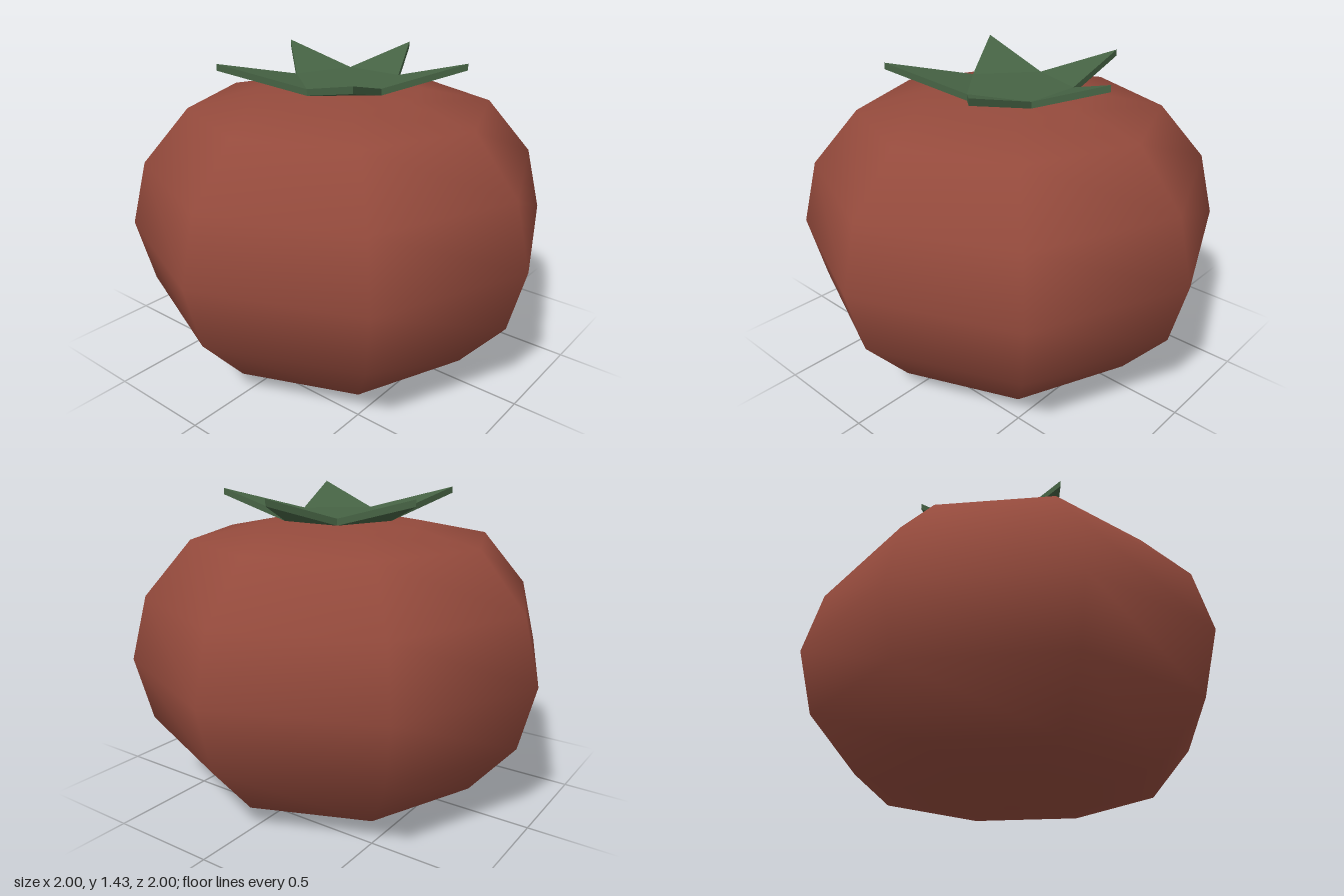
import * as THREE from 'three';

// Eight-sided squashed fruit with smooth shading
function makeFruit() {
  const profile = [
    [0, 0], [0.383, 0.04], [0.707, 0.105], [0.924, 0.36], [1, 0.66],
    [0.924, 0.96], [0.707, 1.215], [0.383, 1.28], [0, 1.305],
  ].map(([r, y]) => new THREE.Vector2(r, y));
  const mesh = new THREE.Mesh(
    new THREE.LatheGeometry(profile, 8),
    new THREE.MeshStandardMaterial({ color: 0x944a3c })
  );
  mesh.name = 'fruit';
  return mesh;
}

// Five-pointed leaf star: flat middle, pointed leaves bent upwards
function makeLeaves() {
  const tips = [[0, -0.55], [0.515, -0.25], [0.39, 0.41], [-0.34, 0.45], [-0.515, -0.22]];
  const notches = [[0.145, -0.25], [0.25, 0.03], [0, 0.24], [-0.25, 0.03], [-0.145, -0.25]];
  const base = 1.3, lift = 0.1, thick = 0.03;
  const positions = [];
  const tri = (...corners) => corners.forEach((c) => positions.push(...c));
  const up = ([x, y, z]) => [x, y + thick, z];
  const centre = [0, base, 0];

  for (let i = 0; i < 5; i++) {
    const [px, pz] = notches[(i + 4) % 5];
    const [nx, nz] = notches[i];
    const prev = [px, base, pz];
    const next = [nx, base, nz];
    const tip = [tips[i][0], base + lift, tips[i][1]];
    // upper and lower faces
    tri(up(next), up(tip), up(prev));
    tri(up(centre), up(next), up(prev));
    tri(prev, tip, next);
    tri(centre, prev, next);
    // rim
    for (const [a, b] of [[prev, tip], [tip, next]]) {
      tri(up(a), up(b), b);
      tri(up(a), b, a);
    }
  }

  const geometry = new THREE.BufferGeometry();
  geometry.setAttribute('position', new THREE.Float32BufferAttribute(positions, 3));
  geometry.computeVertexNormals();
  const mesh = new THREE.Mesh(
    geometry,
    new THREE.MeshStandardMaterial({ color: 0x466344, flatShading: true })
  );
  mesh.name = 'leaves';
  return mesh;
}

export function createModel() {
  const group = new THREE.Group();
  group.name = 'tomato';
  group.add(makeFruit(), makeLeaves());
  return group;
}
